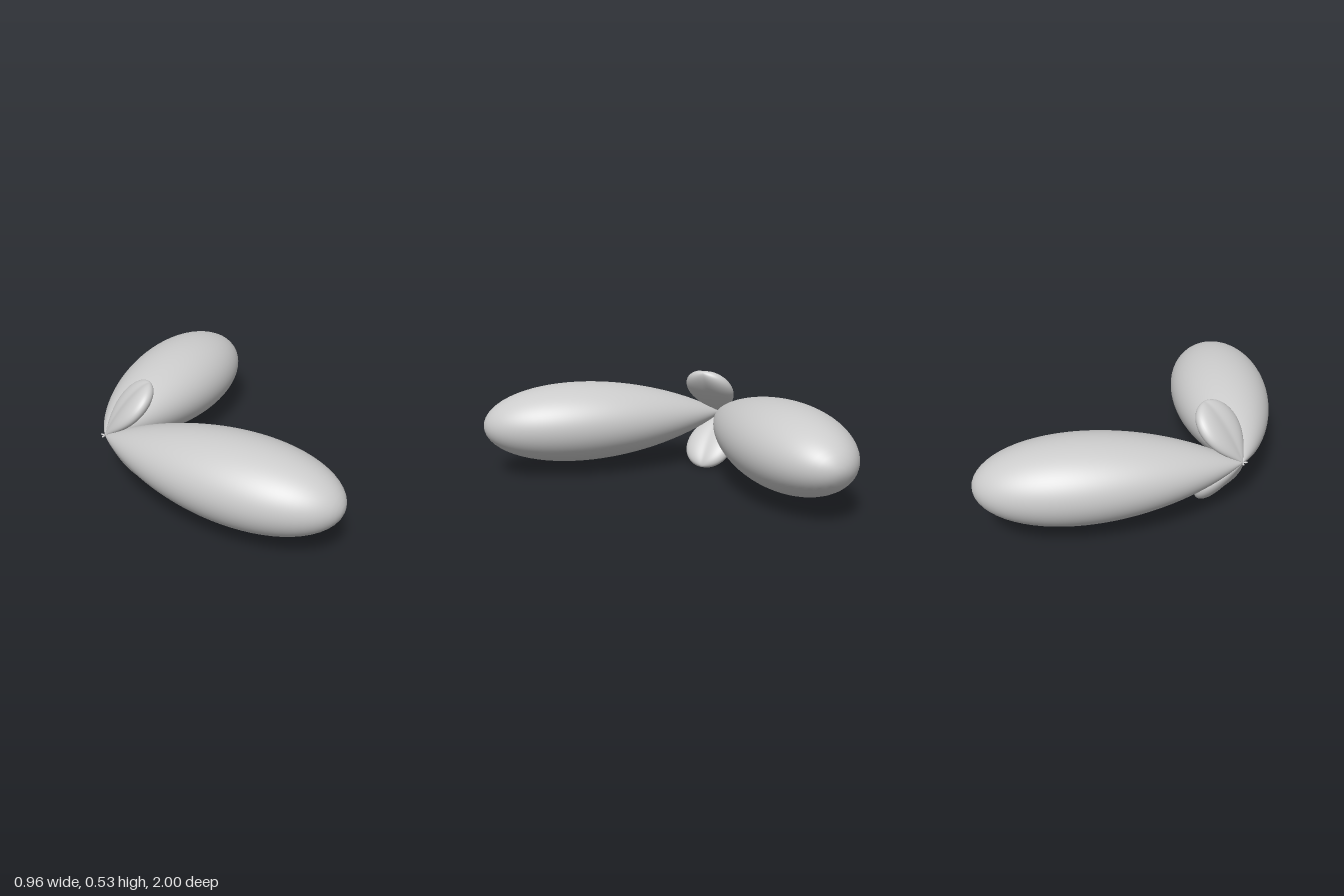
import * as THREE from 'three';

// Teardrop lobe along +x whose root is the origin. Its radius is
// length * cos(k * angle)^p, with k and p blended between the y and z directions.
function lobeGeometry(length, inY, inZ, rings = 64, sides = 96) {
  const positions = [], indices = [];
  for (let i = 0; i <= rings; i++) {
    const t = i / rings;
    const phase = (Math.PI / 2) * (1 - (1 - t) ** 2);
    for (let j = 0; j < sides; j++) {
      const psi = (j / sides) * Math.PI * 2;
      const c = Math.cos(psi) ** 2, s = 1 - c;
      const k = Math.sqrt(inY.k ** 2 * c + inZ.k ** 2 * s);
      const p = inY.p * c + inZ.p * s;
      const angle = phase / k;
      const r = length * Math.pow(Math.max(Math.cos(phase), 0), p);
      positions.push(
        r * Math.cos(angle),
        r * Math.sin(angle) * Math.cos(psi),
        r * Math.sin(angle) * Math.sin(psi)
      );
      if (i < rings) {
        const a = i * sides + j, b = i * sides + ((j + 1) % sides);
        if (i > 0) indices.push(a, b + sides, b);
        if (i < rings - 1 || i === 0) indices.push(a, a + sides, b + sides);
      }
    }
  }
  const geometry = new THREE.BufferGeometry();
  geometry.setAttribute('position', new THREE.Float32BufferAttribute(positions, 3));
  geometry.setIndex(indices);
  geometry.computeVertexNormals();
  // All tip vertices coincide, so they share the axis normal
  for (let j = 0; j < sides; j++) geometry.attributes.normal.setXYZ(j, 1, 0, 0);
  return geometry;
}

export function createModel() {
  const model = new THREE.Group();
  const material = new THREE.MeshStandardMaterial({ color: 0xcccccc, side: THREE.DoubleSide });
  const tilt = THREE.MathUtils.degToRad(47);

  const largeY = { k: 2.55, p: 2 }, largeZ = { k: 2, p: 2 };
  const large = lobeGeometry(1.305, largeY, largeZ);
  const small = lobeGeometry(0.357, { k: 3.6, p: 2 }, { k: 1.9, p: 0.5 });
  const tiny = lobeGeometry(0.026, largeY, largeZ, 12, 24);

  const add = (name, geometry, rotY, rotZ) => {
    const mesh = new THREE.Mesh(geometry, material);
    mesh.name = name;
    mesh.position.set(-0.459, 0.267, 0);
    mesh.rotation.set(0, rotY, rotZ);
    model.add(mesh);
  };

  // All lobes meet at one shared root point
  for (const side of [1, -1]) {
    const end = side > 0 ? 'Front' : 'Back';
    add('largeLobe' + end, large, -side * tilt, 0);
    add('tinyLobe' + end, tiny, -side * (Math.PI - tilt), 0);
    add(side > 0 ? 'smallLobeUpper' : 'smallLobeLower', small, 0, side * tilt);
  }
  return model;
}
